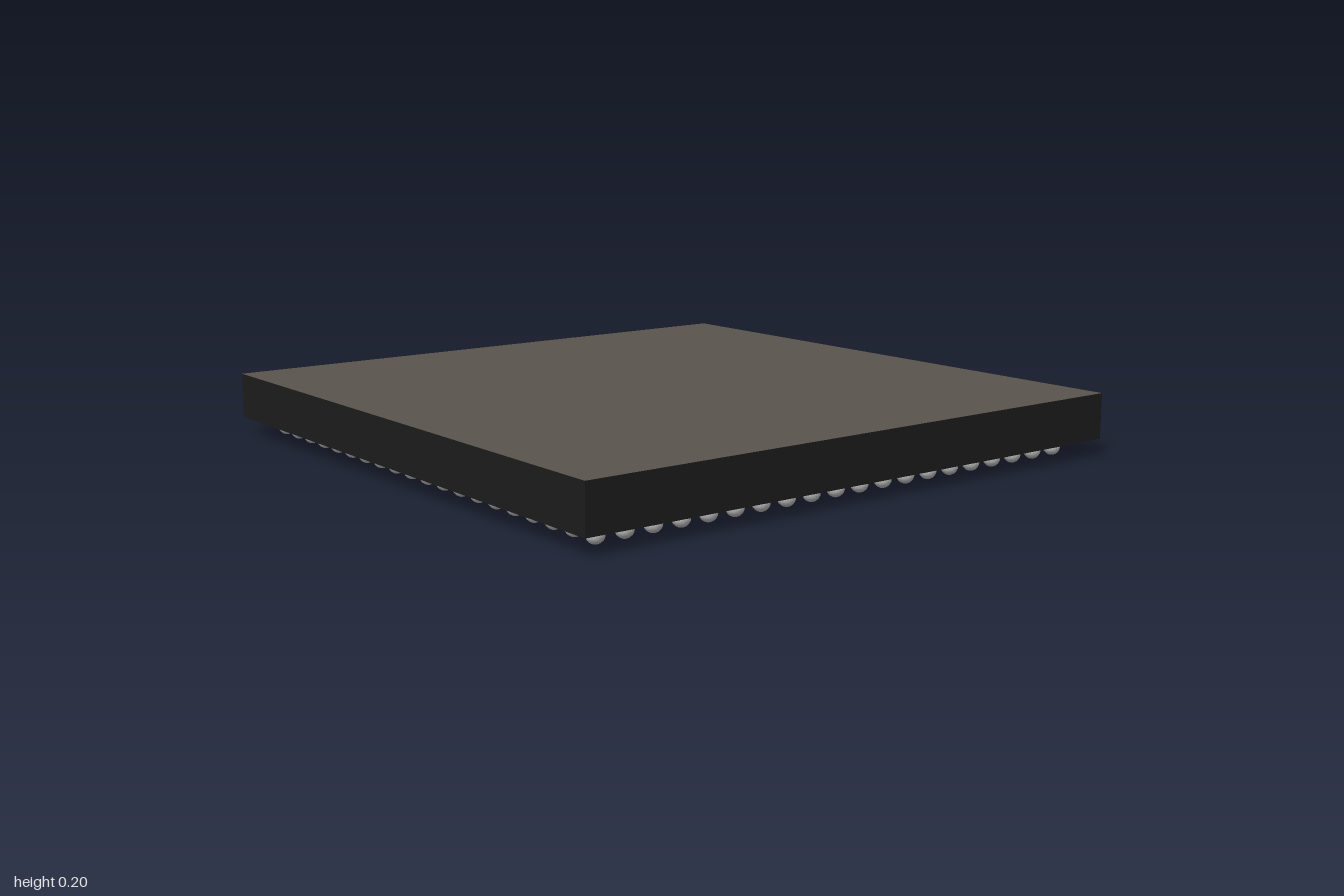
import * as THREE from 'three';
import { mergeGeometries } from 'three/addons/utils/BufferGeometryUtils.js';

const SIZE = 2, TOP = 0.203, BOTTOM = 0.055;
const COUNT = 20, PITCH = 0.0941, RADIUS = 0.0275;

export function createModel() {
  const group = new THREE.Group();
  group.name = 'ballGridPackage';

  const mat = (name, color) => {
    const m = new THREE.MeshStandardMaterial({ color });
    m.name = name;
    return m;
  };
  const black = mat('black moulding', 0x1c1c1c);
  const taupe = mat('taupe faces', 0x59544e);
  const solder = mat('solder grey', 0xbebebe);

  const add = (name, geometry, material, y) => {
    const mesh = new THREE.Mesh(geometry, material);
    mesh.name = name;
    mesh.position.y = y;
    group.add(mesh);
  };

  // Square package body: black side walls, taupe top and underside
  const bodyHeight = TOP - BOTTOM;
  add('body', new THREE.BoxGeometry(SIZE, bodyHeight, SIZE),
    [black, black, taupe, taupe, black, black], BOTTOM + bodyHeight / 2);

  // Full square grid of solder balls under the body
  const ball = new THREE.SphereGeometry(RADIUS, 16, 10);
  const balls = [];
  const at = (i) => (i - (COUNT - 1) / 2) * PITCH;
  for (let i = 0; i < COUNT; i++) {
    for (let j = 0; j < COUNT; j++) {
      balls.push(ball.clone().translate(at(i), 0, at(j)));
    }
  }
  add('solderBalls', mergeGeometries(balls), solder, RADIUS);

  return group;
}
